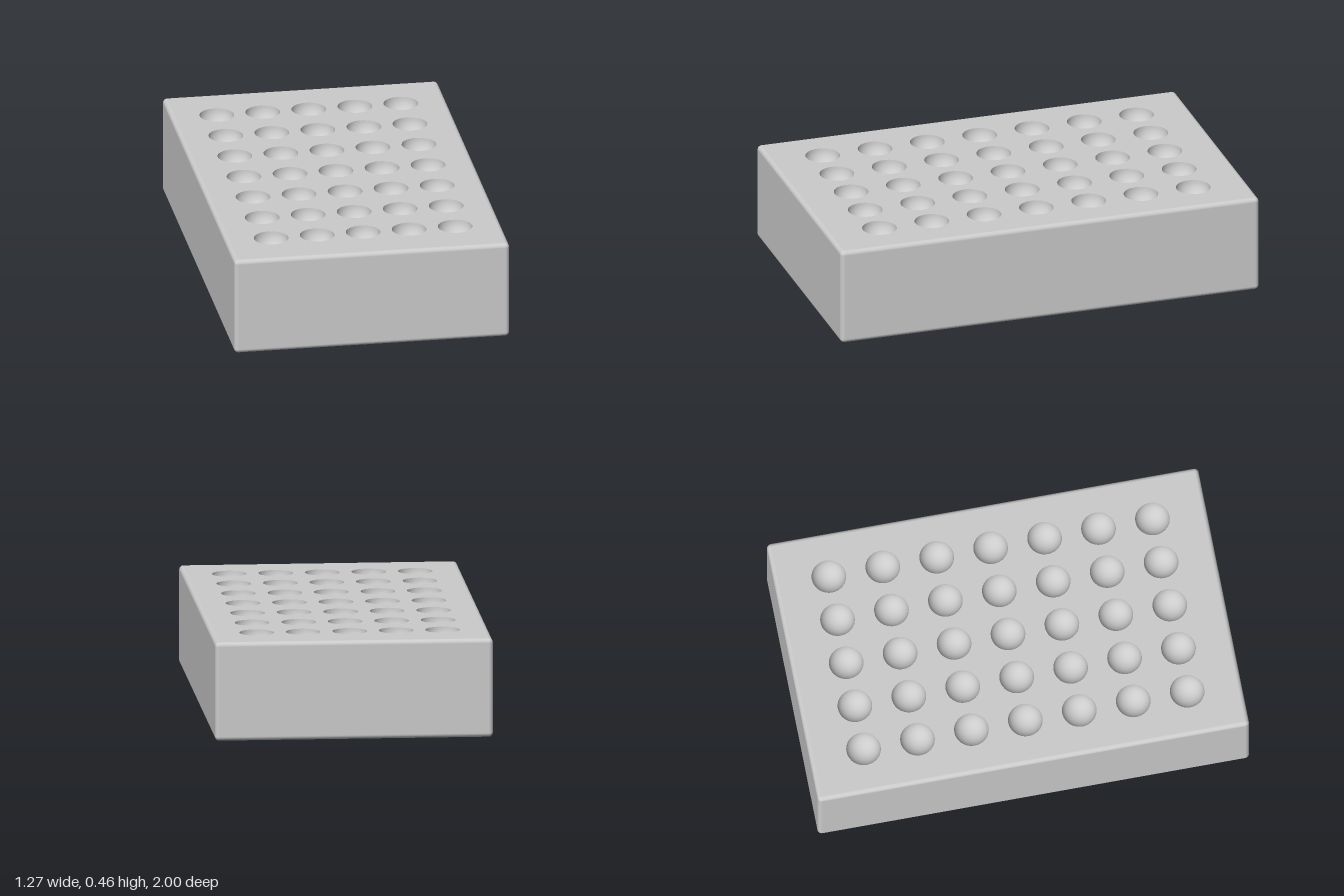
import * as THREE from 'three';
import { RoundedBoxGeometry } from 'three/addons/geometries/RoundedBoxGeometry.js';

const W = 1.27, H = 0.456, D = 2, EDGE = 0.02;
const HOLE_R = 0.079, STEP_X = 0.2125, STEP_Z = 0.25, COLS = 5, ROWS = 7;

// Rounded block with its flat top removed, so the holed plate can take its place
function openBlock() {
  const geo = new RoundedBoxGeometry(W, H, D, 4, EDGE);
  const src = geo.attributes.position, nor = geo.attributes.normal;
  const positions = [], normals = [];
  for (let i = 0; i < src.count; i += 3) {
    const isTop = [0, 1, 2].every(k => src.getY(i + k) > H / 2 - 1e-4);
    if (isTop) continue;
    for (let k = i; k < i + 3; k++) {
      positions.push(src.getX(k), src.getY(k) + H / 2, src.getZ(k));
      normals.push(nor.getX(k), nor.getY(k), nor.getZ(k));
    }
  }
  const out = new THREE.BufferGeometry();
  out.setAttribute('position', new THREE.Float32BufferAttribute(positions, 3));
  out.setAttribute('normal', new THREE.Float32BufferAttribute(normals, 3));
  return out;
}

export function createModel() {
  const group = new THREE.Group();
  group.name = 'holedBlock';
  const mat = new THREE.MeshStandardMaterial({ color: 0xcccccc });
  const bowlMat = new THREE.MeshStandardMaterial({ color: 0xcccccc, side: THREE.DoubleSide });

  const add = (geo, material, name) => {
    const mesh = new THREE.Mesh(geo, material);
    mesh.name = name;
    group.add(mesh);
    return mesh;
  };

  add(openBlock(), mat, 'block');

  // Hemispherical pocket, profile from rim down to the bottom
  const profile = [];
  for (let i = 0; i <= 12; i++) {
    const a = (i / 12) * Math.PI / 2;
    profile.push(new THREE.Vector2(HOLE_R * Math.cos(a), -HOLE_R * Math.sin(a)));
  }
  const pocketGeo = new THREE.LatheGeometry(profile, 40);

  // Top plate with a grid of round holes, one pocket under each
  const w = W / 2 - EDGE, d = D / 2 - EDGE;
  const plate = new THREE.Shape([
    new THREE.Vector2(-w, -d), new THREE.Vector2(w, -d),
    new THREE.Vector2(w, d), new THREE.Vector2(-w, d),
  ]);
  for (let r = 0; r < ROWS; r++) {
    for (let c = 0; c < COLS; c++) {
      const x = (c - (COLS - 1) / 2) * STEP_X;
      const z = (r - (ROWS - 1) / 2) * STEP_Z;
      plate.holes.push(new THREE.Path().absarc(x, -z, HOLE_R, 0, Math.PI * 2, true));
      add(pocketGeo, bowlMat, 'pocket').position.set(x, H, z);
    }
  }
  const top = new THREE.ShapeGeometry(plate, 20);
  top.rotateX(-Math.PI / 2);
  add(top, mat, 'topPlate').position.y = H;

  return group;
}
